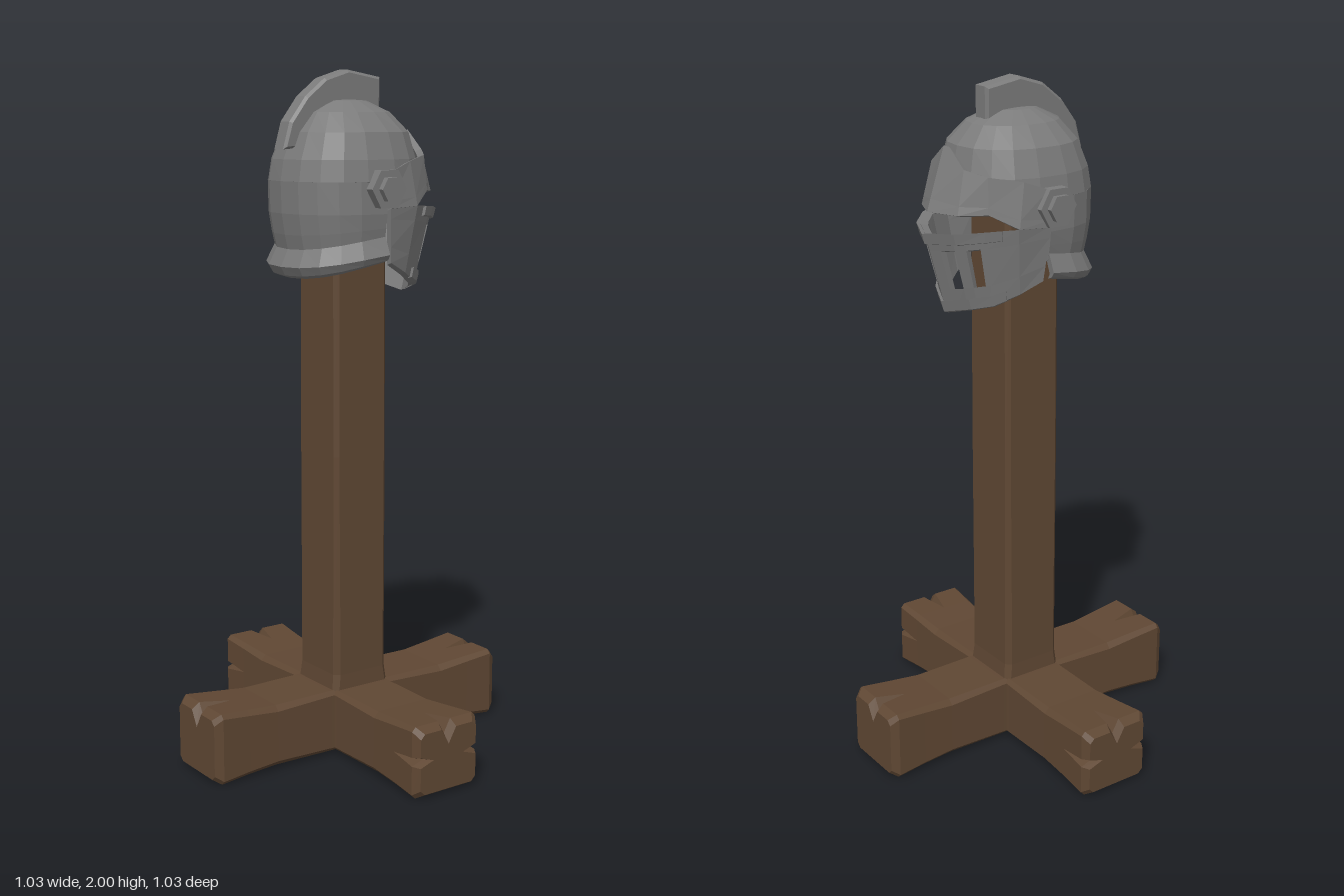
import * as THREE from 'three';

const steel = new THREE.MeshStandardMaterial({ color: 0x7b7b7b, flatShading: true, side: THREE.DoubleSide });
steel.name = 'steel';
const wood = new THREE.MeshStandardMaterial({ color: 0x5f4733, flatShading: true, side: THREE.DoubleSide });
wood.name = 'wood';

function geometryFromQuads(quads) {
  const pos = [];
  for (const [a, b, c, d] of quads) pos.push(...a, ...b, ...c, ...a, ...c, ...d);
  const g = new THREE.BufferGeometry();
  g.setAttribute('position', new THREE.Float32BufferAttribute(pos, 3));
  g.computeVertexNormals();
  return g;
}

function add(group, name, geometry, material) {
  const mesh = new THREE.Mesh(geometry, material);
  mesh.name = name;
  group.add(mesh);
  return mesh;
}

// Sheet of metal with thickness, from a grid of points; cells can be left open
function plate(rows, t, isHole = () => false) {
  const k = 1 - t / 0.2;
  const inner = rows.map(r => r.map(([x, y, z]) => [x * k, y - t * 0.4, z * k]));
  const nr = rows.length - 1, nc = rows[0].length - 1, quads = [];
  const solid = (i, j) => i >= 0 && j >= 0 && i < nr && j < nc && !isHole(i, j);
  for (let i = 0; i < nr; i++) for (let j = 0; j < nc; j++) {
    if (!solid(i, j)) continue;
    const c = [[i, j], [i + 1, j], [i + 1, j + 1], [i, j + 1]];
    quads.push(c.map(([a, b]) => rows[a][b]));
    quads.push([...c].reverse().map(([a, b]) => inner[a][b]));
    [[i, j - 1], [i + 1, j], [i, j + 1], [i - 1, j]].forEach((n, e) => {
      if (solid(...n)) return;
      const [p, q] = [c[e], c[(e + 1) % 4]];
      quads.push([rows[q[0]][q[1]], rows[p[0]][p[1]], inner[p[0]][p[1]], inner[q[0]][q[1]]]);
    });
  }
  return geometryFromQuads(quads);
}

// Rounded, slightly square horizontal arc; angle 0 points to +z
function arc(y, rx, zBack, zFront, span, steps, lift = 0) {
  const soft = v => Math.sign(v) * Math.abs(v) ** 0.86;
  return Array.from({ length: steps + 1 }, (_, i) => {
    const a = span * (2 * i / steps - 1), c = soft(Math.cos(a));
    return [rx * soft(Math.sin(a)), y + lift * (1 - Math.cos(a)), c * (c > 0 ? zBack : zFront)];
  });
}

// Mirrored grid between a top and a bottom half edge, running from the centre outward
function visorGrid(top, bottom, ts, vs, grow = 1) {
  const at = (edge, t) => {
    const i = Math.min(Math.floor(t), edge.length - 2);
    return edge[i].map((v, k) => v + (edge[i + 1][k] - v) * (t - i));
  };
  const cols = [...ts.slice(1).reverse().map(t => [t, -1]), ...ts.map(t => [t, 1])];
  return vs.map(v => cols.map(([t, s]) => {
    const a = at(top, t), b = at(bottom, t);
    const p = a.map((q, k) => q + (b[k] - q) * v);
    return [p[0] * s * grow, p[1], p[2] * grow];
  }));
}

// Joins closed cross-sections and caps both ends
function loft(sections) {
  const n = sections[0].length, quads = [];
  for (let i = 0; i < sections.length - 1; i++) for (let j = 0; j < n; j++) {
    const k = (j + 1) % n;
    quads.push([sections[i][j], sections[i][k], sections[i + 1][k], sections[i + 1][j]]);
  }
  for (const s of [sections[0], sections[sections.length - 1]]) {
    const mid = [0, 1, 2].map(k => s.reduce((sum, p) => sum + p[k], 0) / n);
    for (let j = 0; j < n; j++) quads.push([mid, s[j], s[(j + 1) % n], mid]);
  }
  return geometryFromQuads(quads);
}

// Wooden foot along +z with a split end
function footGeometry(sideCrack) {
  // distance, half width, top, bottom, chamfer, crack half width, crack depth
  const stations = [
    [0, 0.1, 0.193, 0.01, 0.008, 0, 0], [0.11, 0.1, 0.195, 0.008, 0.012, 0, 0],
    [0.3, 0.103, 0.193, 0.01, 0.016, 0, 0], [0.4, 0.107, 0.202, 0.006, 0.014, 0, 0],
    [0.49, 0.112, 0.21, 0, 0.012, 0.022, 0.04], [0.513, 0.098, 0.192, 0.014, 0.014, 0.026, 0.046],
  ];
  return loft(stations.map(([d, w, T, B, c, n, k]) => {
    const m = 0.11, sn = sideCrack ? n * 0.6 : 0, sk = sideCrack ? k : 0;
    const right = [[n, T], [w - c, T], [w, T - c], [w, m + sn], [w - sk, m], [w, m - sn], [w, B + c], [w - c, B]];
    const left = [...right].reverse().map(([x, y]) => [-x, y]);
    return [[0, T - k], ...right, ...left].map(([x, y]) => [x, y, d]);
  }));
}

export function createModel() {
  const model = new THREE.Group();
  model.name = 'helmetOnStand';

  // Cross-shaped base and post
  const base = new THREE.Group();
  base.name = 'stand';
  model.add(base);
  for (let i = 0; i < 4; i++) {
    add(base, 'foot' + (i + 1), footGeometry(i % 2 === 1), wood).rotation.y = i * Math.PI / 2;
  }
  const postSection = (y, w, d, c) => [
    [w - c, d], [w, d - c], [w, c - d], [w - c, -d], [c - w, -d], [-w, c - d], [-w, d - c], [c - w, d],
  ].map(([x, z]) => [x, y, z]);
  add(base, 'post', loft([
    postSection(0.15, 0.103, 0.103, 0.014), postSection(0.24, 0.098, 0.093, 0.016),
    postSection(0.9, 0.096, 0.092, 0.012), postSection(1.68, 0.095, 0.091, 0.014),
  ]), wood);

  const helmet = new THREE.Group();
  helmet.name = 'helmet';
  model.add(helmet);

  // Skull: height, half width, back depth, front depth
  add(helmet, 'skull', plate([
    [1.918, 0, 0, 0], [1.912, 0.055, 0.06, 0.07], [1.88, 0.11, 0.125, 0.14], [1.825, 0.162, 0.172, 0.19],
    [1.75, 0.186, 0.203, 0.207], [1.69, 0.194, 0.213, 0.21],
  ].map(([y, rx, zb, zf]) => arc(y, rx, zb, zf, Math.PI, 18)), 0.016), steel);
  const back = 1.62;
  add(helmet, 'backPlate', plate([
    arc(1.69, 0.194, 0.213, 0.21, back, 10), arc(1.6, 0.195, 0.21, 0.21, back, 10),
    arc(1.54, 0.19, 0.2, 0.2, back, 10, 0.02), arc(1.48, 0.182, 0.186, 0.2, back, 10, 0.035),
  ], 0.016), steel);
  add(helmet, 'neckGuard', plate([
    arc(1.5, 0.187, 0.19, 0.2, back, 10, 0.035), arc(1.45, 0.209, 0.214, 0.2, back, 10, 0.035),
    arc(1.425, 0.2, 0.2, 0.2, back, 10, 0.045),
  ], 0.02), steel);

  // Crest along the crown
  const crestShape = new THREE.Shape([
    [0.21, 1.785], [0.19, 1.85], [0.138, 1.918], [0.075, 1.967], [0, 1.99], [-0.105, 1.972], [-0.105, 1.88],
    [0, 1.89], [0.1, 1.86], [0.16, 1.79],
  ].map(p => new THREE.Vector2(...p)));
  const crest = new THREE.ExtrudeGeometry(crestShape, {
    depth: 0.044, bevelEnabled: true, bevelSegments: 1, bevelSize: 0.008, bevelThickness: 0.008,
  });
  crest.translate(0, 0, -0.022).rotateY(-Math.PI / 2);
  add(helmet, 'crest', crest, steel);

  // Brow half of the visor
  const browTop = [[0, 1.83, -0.233], [0.08, 1.775, -0.222], [0.14, 1.76, -0.185], [0.187, 1.745, -0.1], [0.203, 1.72, -0.03]];
  const browLow = [[0, 1.655, -0.29], [0.09, 1.655, -0.25], [0.15, 1.66, -0.19], [0.196, 1.62, -0.12], [0.206, 1.615, -0.02]];
  add(helmet, 'brow', plate(visorGrid(browTop, browLow, [0, 1, 2, 3, 4], [0, 0.8, 1]), 0.016), steel);

  // Lower half of the visor, with breathing slits
  const jawTop = [[0, 1.597, -0.298], [0.09, 1.605, -0.258], [0.15, 1.615, -0.2], [0.194, 1.62, -0.122], [0.204, 1.62, -0.02]];
  const jawLow = [[0, 1.365, -0.232], [0.08, 1.385, -0.198], [0.13, 1.4, -0.16], [0.168, 1.43, -0.1], [0.187, 1.462, -0.035]];
  const ts = [0, 0.35, 0.85, 1.25, 1.75, 2, 3, 4];
  const slitColumns = [3, 5, 8, 10];
  add(helmet, 'jawGuard', plate(visorGrid(jawTop, jawLow, ts, [0, 0.22, 0.72, 1]), 0.016,
    (i, j) => i === 1 && slitColumns.includes(j)), steel);
  add(helmet, 'jawRim', plate(visorGrid(jawTop, jawLow, [0, 1, 2, 2.5], [0, 0.13], 1.035), 0.012), steel);
  add(helmet, 'jawLowerRim', plate(visorGrid(jawTop, jawLow, [0, 1, 2, 2.5], [0.86, 1], 1.035), 0.012), steel);

  // Hexagonal hinges on both sides
  for (const side of [1, -1]) {
    const hinge = new THREE.Group();
    hinge.name = side > 0 ? 'leftHinge' : 'rightHinge';
    hinge.position.set(side * 0.2, 1.67, -0.006);
    add(hinge, 'hingePlate', new THREE.CylinderGeometry(0.06, 0.06, 0.036, 6).rotateZ(Math.PI / 2), steel);
    const bolt = add(hinge, 'hingeBolt', new THREE.CylinderGeometry(0.037, 0.04, 0.05, 6).rotateZ(-Math.PI / 2), steel);
    bolt.position.x = side * 0.01;
    helmet.add(hinge);
  }
  return model;
}
